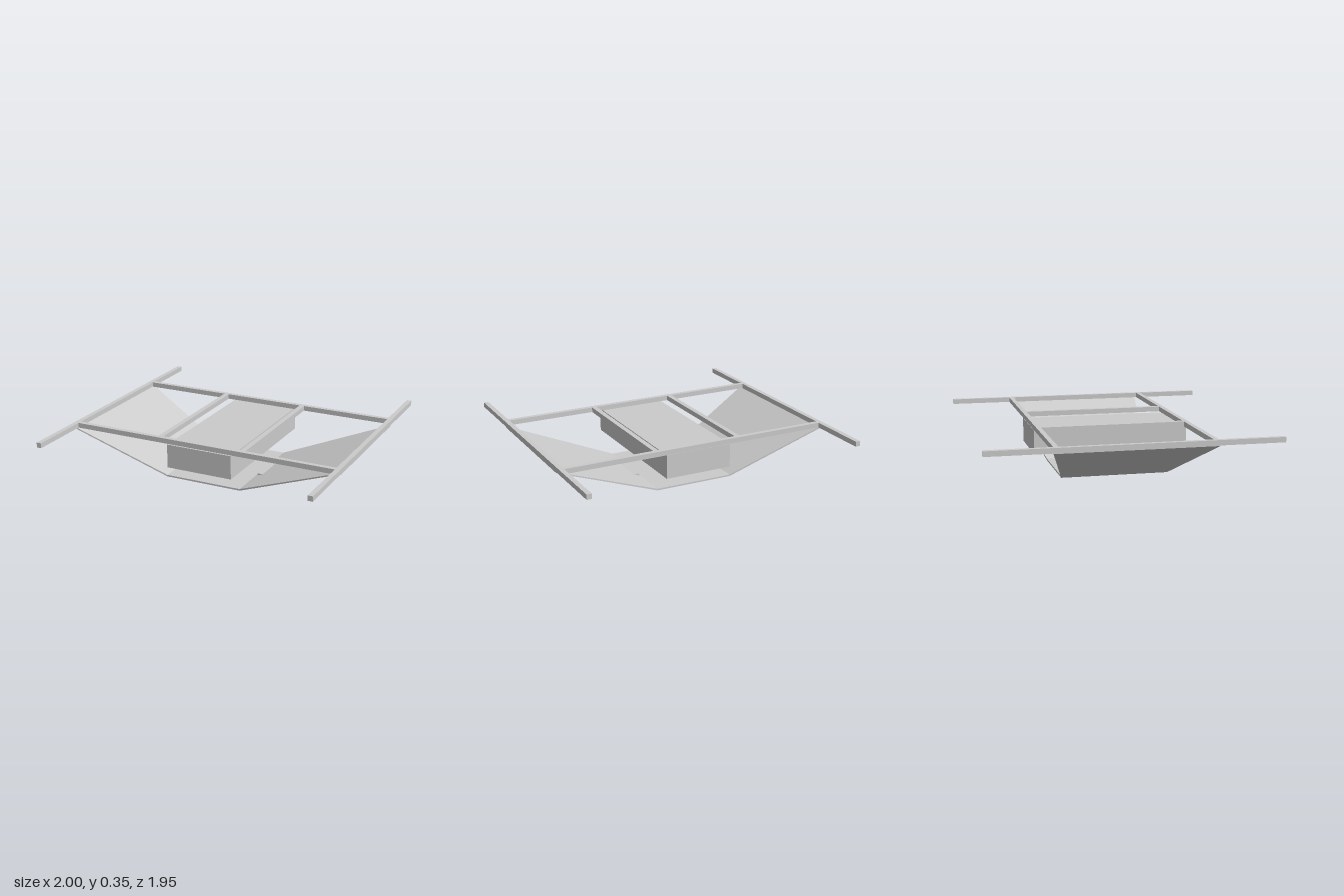
import * as THREE from 'three';

const material = new THREE.MeshStandardMaterial({ color: 0xcccccc, flatShading: true });

// Box given by its minimum and maximum on each axis
function block(name, [x0, x1], [y0, y1], [z0, z1]) {
  const mesh = new THREE.Mesh(new THREE.BoxGeometry(x1 - x0, y1 - y0, z1 - z0), material);
  mesh.position.set((x0 + x1) / 2, (y0 + y1) / 2, (z0 + z1) / 2);
  mesh.name = name;
  return mesh;
}

// Thin plate lofted through rectangular sections along x: [x, underside y, top y, half width]
function loftPlate(sections) {
  const positions = [];
  const index = [];
  for (const [x, y0, y1, w] of sections) {
    positions.push(x, y0, w, x, y0, -w, x, y1, -w, x, y1, w);
  }
  for (let i = 0; i < sections.length - 1; i++) {
    for (let k = 0; k < 4; k++) {
      const a = i * 4 + k;
      const b = i * 4 + (k + 1) % 4;
      index.push(a, b, a + 4, b, b + 4, a + 4);
    }
  }
  const e = (sections.length - 1) * 4;
  index.push(0, 2, 1, 0, 3, 2, e, e + 1, e + 2, e, e + 2, e + 3);
  const geometry = new THREE.BufferGeometry();
  geometry.setAttribute('position', new THREE.Float32BufferAttribute(positions, 3));
  geometry.setIndex(index);
  const flat = geometry.toNonIndexed();
  flat.computeVertexNormals();
  return flat;
}

export function createModel() {
  const model = new THREE.Group();
  model.name = 'framedTray';
  const frameY = [0.317, 0.352];

  // Top frame: long end beams, side rails and cross rails
  const frame = new THREE.Group();
  frame.name = 'frame';
  frame.add(
    block('rightEndBeam', [-1, -0.966], frameY, [-0.975, 0.975]),
    block('leftEndBeam', [0.966, 1], frameY, [-0.975, 0.975]),
    block('backRail', [-0.966, 0.966], frameY, [-0.54, -0.507]),
    block('frontRail', [-0.966, 0.966], frameY, [0.496, 0.529]),
    block('rightCrossRail', [-0.332, -0.296], frameY, [-0.507, 0.496]),
    block('leftCrossRail', [0.29, 0.326], frameY, [-0.507, 0.496])
  );
  model.add(frame);

  // Box hung below the rails
  model.add(block('hangingBox', [-0.241, 0.241], [0.15, 0.317], [-0.542, 0.542]));

  // Folded belly plate, widening towards both ends
  const plate = new THREE.Mesh(loftPlate([
    [-0.975, 0.308, 0.318, 0.54],
    [-0.342, 0, 0.012, 0.375],
    [0.225, 0, 0.012, 0.375],
    [0.998, 0.309, 0.318, 0.488]
  ]), material);
  plate.name = 'bellyPlate';
  model.add(plate);

  // Small bar let into the rising plate
  model.add(block('plateBar', [0.24, 0.285], [0.012, 0.034], [-0.116, 0.116]));

  return model;
}
